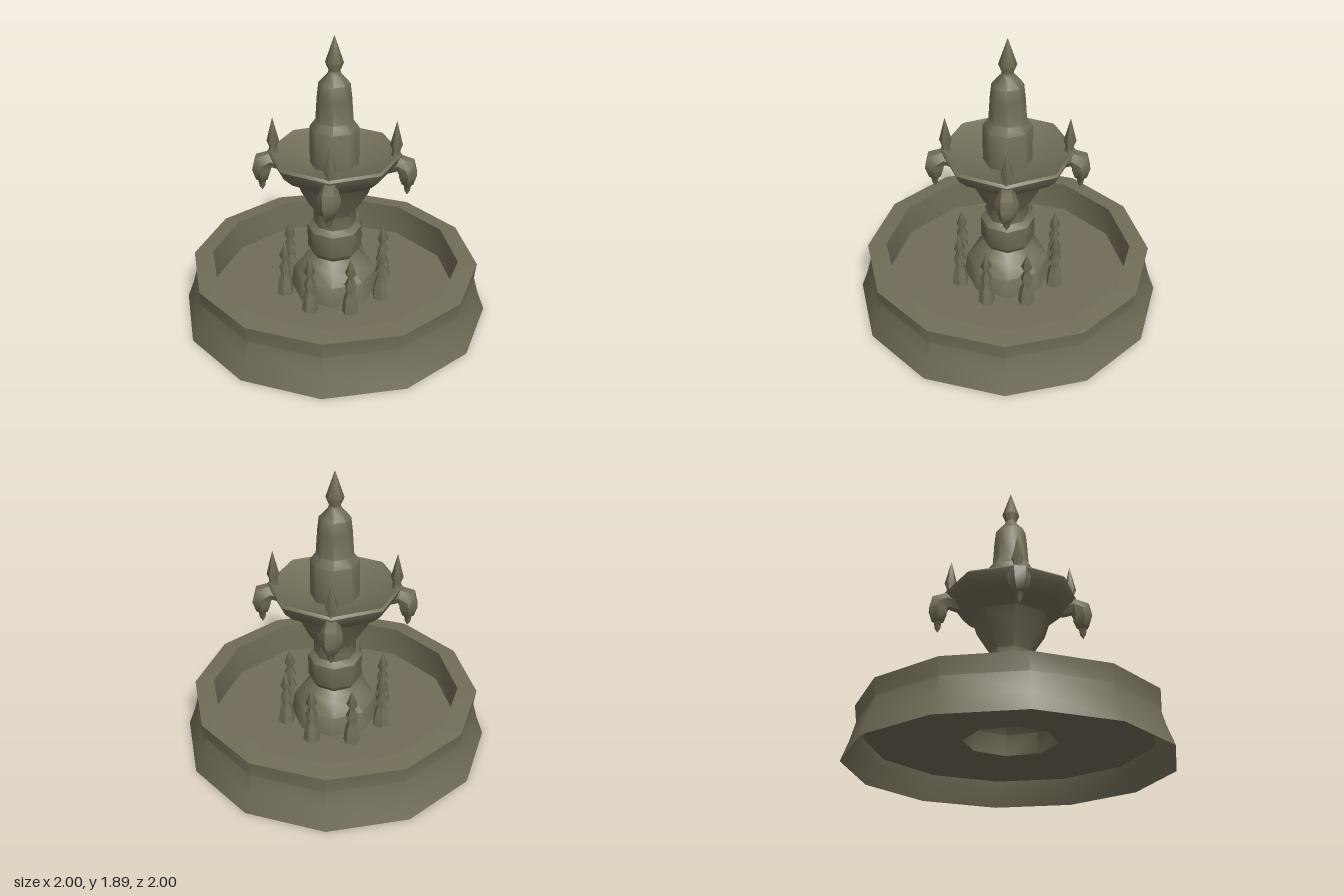
import * as THREE from 'three';
import { toCreasedNormals } from 'three/addons/utils/BufferGeometryUtils.js';

const stone = new THREE.MeshStandardMaterial({ color: 0x716d58, side: THREE.DoubleSide });
stone.name = 'stone';

const BASIN_TURN = 0.02, COLUMN_TURN = 0.29, FLOOR_Y = 0.15;

function mesh(name, geometry, crease) {
  const m = new THREE.Mesh(toCreasedNormals(geometry, crease), stone);
  m.name = name;
  return m;
}

// Faceted turning from [radius, height] pairs
function turned(name, profile, sides, start, crease = 0.85) {
  const pts = profile.map(([r, y]) => new THREE.Vector2(r, y));
  return mesh(name, new THREE.LatheGeometry(pts, sides, start), crease);
}

// Points of a regular polygon, matching the turned parts once laid flat
function polygon(radius, sides, start) {
  return Array.from({ length: sides }, (_, i) => {
    const a = start + (i / sides) * Math.PI * 2;
    return new THREE.Vector2(radius * Math.sin(a), -radius * Math.cos(a));
  });
}

// Six-sided loft along +z; each section is [z, y, downward tilt, radius]
function loft(sections, sides = 6) {
  const pos = [], index = [];
  sections.forEach(([z, y, tilt, r], s) => {
    for (let i = 0; i < sides; i++) {
      const a = (i / sides) * Math.PI * 2;
      const u = r * Math.sin(a);
      pos.push(r * Math.cos(a), y + u * Math.cos(tilt), z + u * Math.sin(tilt));
      if (s === 0) continue;
      const j = (i + 1) % sides, p = (s - 1) * sides, q = s * sides;
      index.push(p + i, p + j, q + j, p + i, q + j, q + i);
    }
  });
  const g = new THREE.BufferGeometry();
  g.setAttribute('position', new THREE.Float32BufferAttribute(pos, 3));
  g.setIndex(index);
  return g;
}

export function createModel() {
  const fountain = new THREE.Group();
  fountain.name = 'fountain';

  // Basin wall: flared outside, broad rim, straight inside
  fountain.add(turned('basinWall', [
    [1, 0], [0.955, 0.12], [0.922, 0.24], [0.935, 0.345],
    [0.81, 0.36], [0.8, FLOOR_Y],
  ], 12, BASIN_TURN, 0.6));

  // Basin floor, open beneath the column
  const floor = new THREE.Shape(polygon(0.88, 12, BASIN_TURN));
  floor.holes.push(new THREE.Path(polygon(0.29, 8, COLUMN_TURN)));
  const floorMesh = mesh('basinFloor', new THREE.ShapeGeometry(floor).rotateX(-Math.PI / 2), 0.5);
  floorMesh.position.y = FLOOR_Y;
  fountain.add(floorMesh);

  // Column and upper bowl
  fountain.add(turned('columnAndBowl', [
    [0.29, FLOOR_Y], [0.27, 0.28], [0.2, 0.36], [0.145, 0.41], [0.175, 0.45], [0.175, 0.6],
    [0.135, 0.63], [0.135, 0.72], [0.215, 0.84], [0.25, 0.95],
    [0.345, 1.01], [0.405, 1.07], [0.425, 1.12], [0.41, 1.135],
    [0.385, 1.12], [0.14, 1.05],
  ], 8, COLUMN_TURN));

  // Central spire
  fountain.add(turned('spire', [
    [0.155, 1.04], [0.155, 1.3], [0.118, 1.35], [0.108, 1.5], [0.098, 1.59],
    [0.042, 1.65], [0.036, 1.67], [0.057, 1.72], [0, 1.89],
  ], 8, COLUMN_TURN));

  // Four corners of the bowl: finial above, hooked spout below
  for (let i = 0; i < 4; i++) {
    const corner = new THREE.Group();
    corner.name = 'bowlCorner' + (i + 1);
    corner.rotation.y = 1.07 + (i * Math.PI) / 2;

    const finial = turned('finial', [
      [0.035, 1.1], [0.025, 1.15], [0.04, 1.19], [0, 1.35],
    ], 6, 0);
    finial.position.z = 0.385;

    const spout = mesh('spout', loft([
      [0.33, 1.04, 0, 0.05], [0.4, 1.065, 0.1, 0.055], [0.455, 1.035, 0.8, 0.072],
      [0.462, 0.99, 1.45, 0.066], [0.461, 0.925, Math.PI / 2, 0.042],
      [0.461, 0.915, Math.PI / 2, 0.027], [0.461, 0.875, Math.PI / 2, 0.02],
      [0.461, 0.845, Math.PI / 2, 0.001],
    ]), 0.9);

    corner.add(finial, spout);
    fountain.add(corner);
  }

  // Ring of small spires standing in the basin
  for (let i = 0; i < 8; i++) {
    const a = -0.119 + (i * Math.PI) / 4;
    const spike = turned('basinSpire' + (i + 1), [
      [0.055, FLOOR_Y], [0.045, 0.25], [0.028, 0.3], [0.04, 0.35],
      [0.018, 0.4], [0.037, 0.435], [0, 0.54],
    ], 6, 0);
    spike.position.set(0.338 * Math.sin(a), 0, 0.338 * Math.cos(a));
    spike.rotation.y = a;
    fountain.add(spike);
  }

  return fountain;
}
